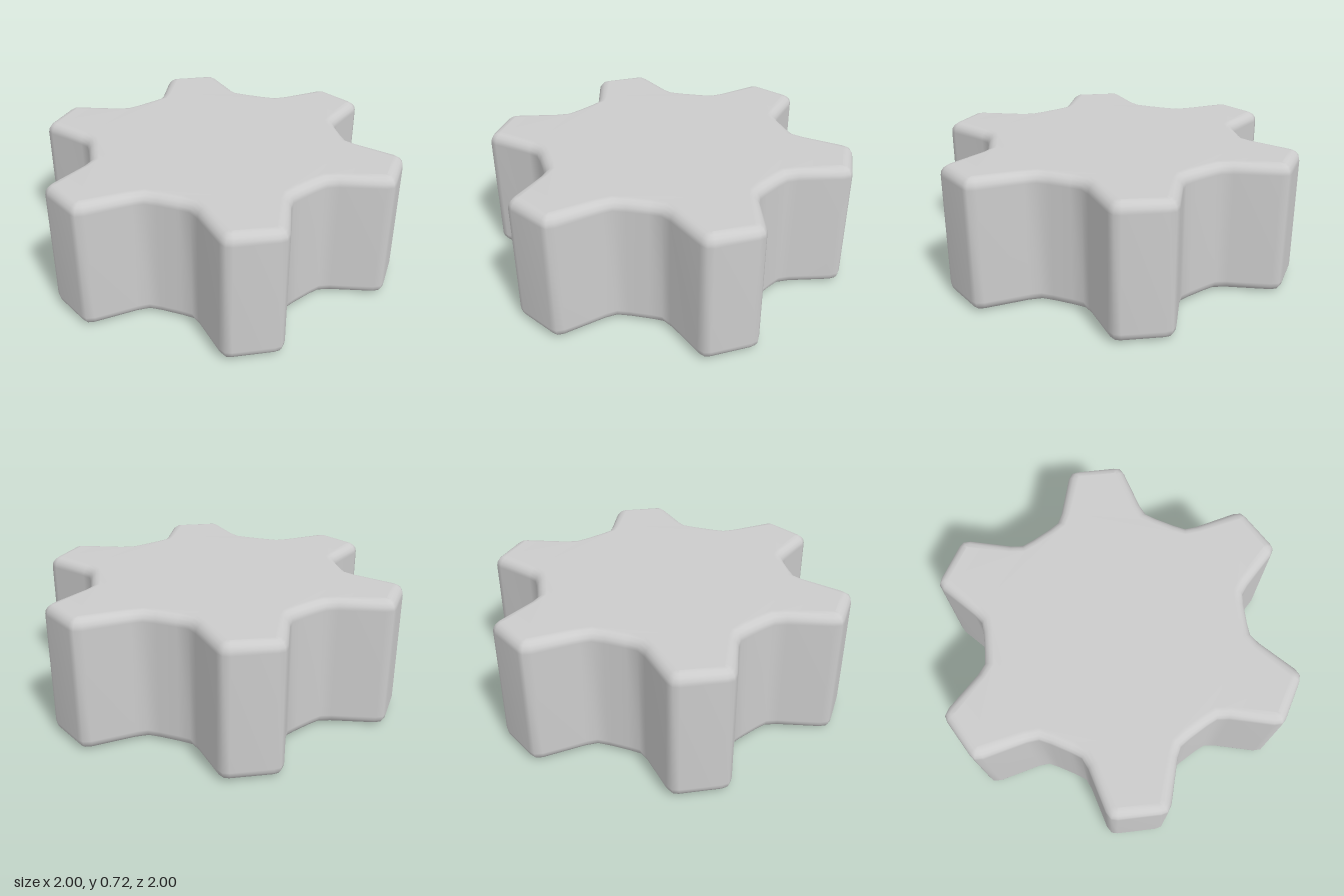
import * as THREE from 'three';
import { mergeVertices } from 'three/addons/utils/BufferGeometryUtils.js';

const TEETH = 6;
const HEIGHT = 0.717;
const ROUND = 0.055;

// Half a tooth, from valley to tip: [distance along tooth axis, half width]
const HALF_TOOTH = [
  [0.643, 0.307], [0.679, 0.254], [0.7355, 0.228],
  [0.96, 0.165], [0.997, 0.142], [1.005, 0.108],
];

function gearOutline() {
  const tooth = [
    ...HALF_TOOTH.map(([u, v]) => new THREE.Vector2(u, -v)),
    ...[...HALF_TOOTH].reverse().map(([u, v]) => new THREE.Vector2(u, v)),
  ];
  const origin = new THREE.Vector2();
  const points = [];
  for (let i = 0; i < TEETH; i++) {
    const angle = Math.PI / 4 + (i * Math.PI * 2) / TEETH;
    for (const p of tooth) points.push(p.clone().rotateAround(origin, angle));
  }
  return new THREE.Shape(points);
}

export function createModel() {
  const group = new THREE.Group();
  group.name = 'gear';

  // Solid gear with rounded upper and lower rims
  let geometry = new THREE.ExtrudeGeometry(gearOutline(), {
    depth: HEIGHT - 2 * ROUND,
    bevelEnabled: true,
    bevelSize: ROUND,
    bevelOffset: -ROUND,
    bevelThickness: ROUND,
    bevelSegments: 4,
  });
  geometry.translate(0, 0, ROUND);
  geometry.rotateX(-Math.PI / 2);

  // Weld the surface so walls, rims and caps shade smoothly into each other
  geometry.deleteAttribute('normal');
  geometry.deleteAttribute('uv');
  geometry = mergeVertices(geometry, 1e-4);
  geometry.computeVertexNormals();

  const body = new THREE.Mesh(geometry, new THREE.MeshStandardMaterial({ color: 0xcccccc }));
  body.name = 'gearBody';
  group.add(body);
  return group;
}
